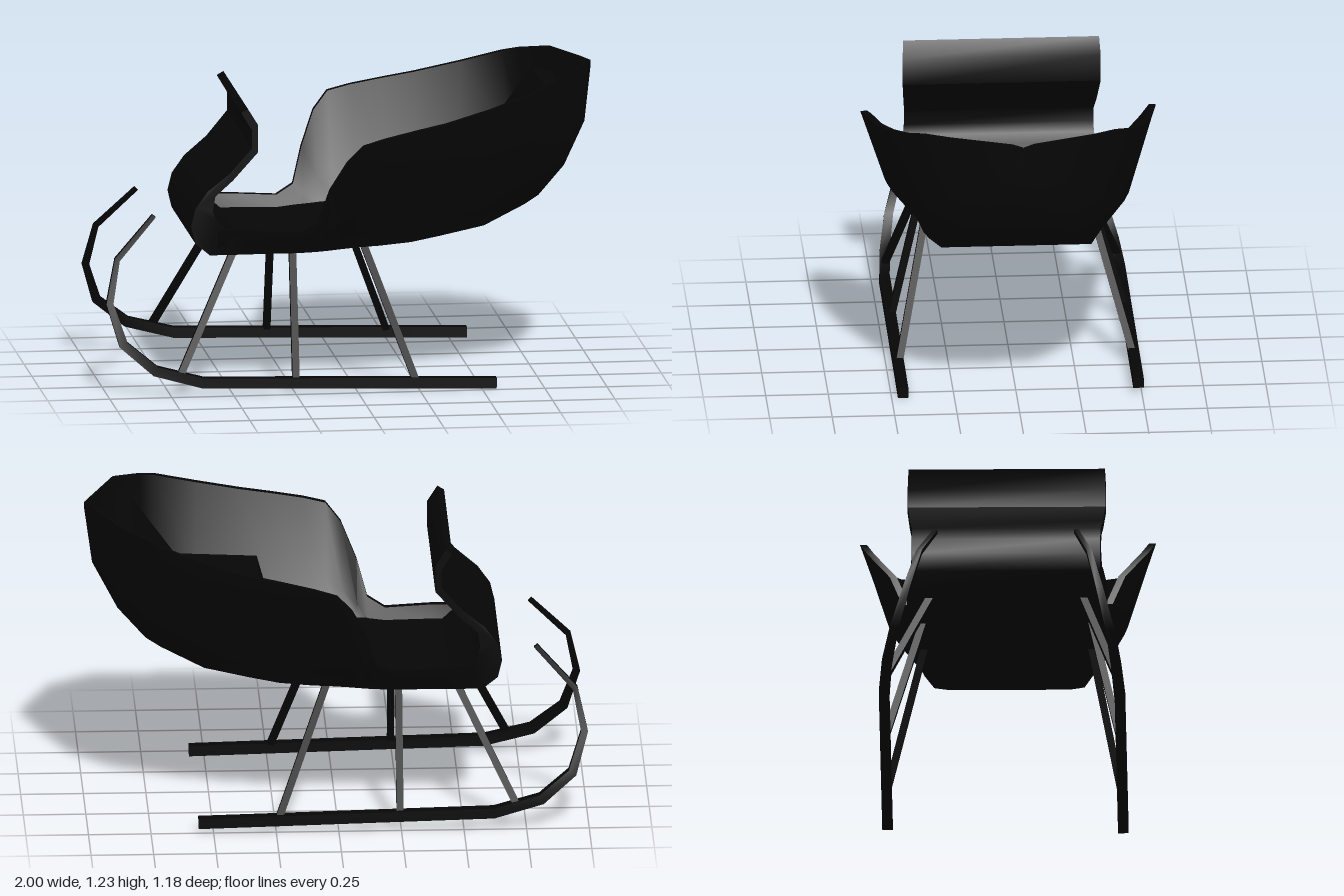
import * as THREE from 'three';
import { toCreasedNormals } from 'three/addons/utils/BufferGeometryUtils.js';

const black = new THREE.MeshStandardMaterial({ color: 0x060606, side: THREE.DoubleSide });
black.name = 'black';

// Hull stations: x, bottom y, bottom half width, rim y, rim half width,
// then the share of widening reached at two low heights (fuller at the stern)
const stations = [
  [-0.55, 0.548, 0.36, 0.655, 0.385, 0.13, 0.58], [-0.4, 0.548, 0.36, 0.65, 0.4, 0.13, 0.58],
  [-0.22, 0.548, 0.36, 0.64, 0.4, 0.13, 0.58], [-0.15, 0.551, 0.36, 0.68, 0.42, 0.13, 0.58],
  [-0.11, 0.554, 0.36, 0.82, 0.47, 0.13, 0.58], [-0.05, 0.56, 0.36, 0.95, 0.56, 0.13, 0.58],
  [0.01, 0.565, 0.36, 1.02, 0.591, 0.13, 0.58], [0.1, 0.57, 0.36, 1.045, 0.583, 0.13, 0.58],
  [0.23, 0.58, 0.352, 1.072, 0.567, 0.13, 0.58], [0.35, 0.6, 0.337, 1.095, 0.552, 0.15, 0.58],
  [0.53, 0.63, 0.3, 1.14, 0.515, 0.2, 0.62], [0.7, 0.7, 0.24, 1.19, 0.465, 0.28, 0.7],
  [0.76, 0.73, 0.21, 1.21, 0.41, 0.35, 0.76], [0.87, 0.84, 0.16, 1.233, 0.31, 0.48, 0.83],
  [0.967, 0.995, 0.045, 1.235, 0.07, 0.5, 0.85], [0.997, 1.21, 0.002, 1.232, 0.003, 0.5, 0.85],
];
const levels = [0, 0.13, 0.36, 1]; // height shares of the section corners

function interpolate(table, v) {
  let i = 0;
  while (i < table.length - 2 && v > table[i + 1][0]) i++;
  const a = table[i], b = table[i + 1];
  const k = THREE.MathUtils.clamp((v - a[0]) / (b[0] - a[0]), 0, 1);
  return a.map((n, j) => n + (b[j] - n) * k);
}

// Half width of the hull at a given length and height
function hullWidth(x, y) {
  const [, bottom, wb, rim, wr, s1, s2] = interpolate(stations, x);
  const bulge = [0, s1, s2, 1].map((s, i) => [levels[i], s]);
  return wb + (wr - wb) * interpolate(bulge, (y - bottom) / (rim - bottom))[1];
}

// Skin a series of equal rings
function loft(rings, capped) {
  const n = rings[0].length, index = [];
  for (let i = 0; i < rings.length - 1; i++) {
    for (let j = 0; j < n; j++) {
      const a = i * n + j, b = i * n + (j + 1) % n;
      index.push(a, b, b + n, a, b + n, a + n);
    }
  }
  if (capped) {
    const e = (rings.length - 1) * n;
    for (let j = 1; j < n - 1; j++) index.push(0, j + 1, j, e, e + j, e + j + 1);
  }
  const g = new THREE.BufferGeometry();
  g.setAttribute('position', new THREE.Float32BufferAttribute(rings.flat(2), 3));
  g.setIndex(index);
  return toCreasedNormals(g, 0.65);
}

// Hollow hull section: outer skin from rim to rim, then the inner skin back
function hullRing([x, bottom, , rim]) {
  const h = rim - bottom;
  const outer = levels.map(t => [bottom + t * h, hullWidth(x, bottom + t * h)]).reverse();
  const floor = bottom + Math.min(0.05, h * 0.5);
  const inner = [[floor, 0.028], [Math.max(floor, bottom + 0.36 * h), 0.028 + 0.07 * h], [rim, 0.028]]
    .map(([y, wall]) => [y, Math.max(hullWidth(x, y) - wall, 0.001)]);
  const left = ([y, w]) => [x, y, w], right = ([y, w]) => [x, y, -w];
  return [
    ...outer.map(left), ...[...outer].reverse().map(right),
    ...[...inner].reverse().map(right), ...inner.map(left),
  ];
}

// Side profile extruded across z from -1 to 1, then fitted to a half width
function crossPiece(points, halfWidth) {
  const shape = new THREE.Shape(points.map(p => new THREE.Vector2(...p)));
  const g = new THREE.ExtrudeGeometry(shape, { depth: 2, bevelEnabled: false });
  const p = g.attributes.position;
  for (let i = 0; i < p.count; i++) {
    p.setZ(i, (p.getZ(i) - 1) * halfWidth(p.getX(i), p.getY(i)));
  }
  return toCreasedNormals(g, 0.65);
}

// Square bar swept along a path of [x, y, z, half thickness]
function bar(path) {
  return loft(path.map(([x, y, z, r], i) => {
    const a = path[Math.max(i - 1, 0)], b = path[Math.min(i + 1, path.length - 1)];
    const l = Math.hypot(b[0] - a[0], b[1] - a[1]);
    const nx = -(b[1] - a[1]) / l * r, ny = (b[0] - a[0]) / l * r;
    return [[1, 1], [-1, 1], [-1, -1], [1, -1]].map(([u, v]) => [x + nx * u, y + ny * u, z + r * v]);
  }), true);
}

export function createModel() {
  const model = new THREE.Group();
  model.name = 'sleigh';
  const add = (name, geometry) => {
    const mesh = new THREE.Mesh(geometry, black);
    mesh.name = name;
    model.add(mesh);
  };

  add('hull', loft(stations.map(hullRing), false));

  // Curled front panel
  add('dashboard', crossPiece([
    [-0.58, 0.548], [-0.45, 0.548], [-0.45, 0.6], [-0.52, 0.66], [-0.555, 0.69], [-0.57, 0.73],
    [-0.56, 0.79], [-0.49, 0.855], [-0.39, 0.97], [-0.39, 1.08], [-0.43, 1.145], [-0.457, 1.13],
    [-0.415, 1.06], [-0.415, 0.985], [-0.5, 0.885], [-0.59, 0.81], [-0.64, 0.74], [-0.657, 0.67],
    [-0.64, 0.6],
  ], (x, y) => (y < 0.56 ? 0.362 : 0.375 + Math.max(0, x + 0.6) * 0.1)));

  // Bench with a raked front and a leaning backrest, fitted inside the hull
  add('seat', crossPiece([
    [0.22, 0.61], [0.53, 0.66], [0.74, 0.75], [0.85, 0.88], [0.87, 1.14], [0.8, 1.15],
    [0.62, 0.89], [0.29, 0.85],
  ], (x, y) => Math.min(hullWidth(x, y) - 0.02, 0.42 - 0.22 * (x - 0.29))));

  // Runners and struts; the right side stands slightly wider and higher
  for (const side of [1, -1]) {
    const wide = side > 0 ? 0 : 0.033, lift = side > 0 ? 0 : 0.02;
    const label = side > 0 ? 'left' : 'right';
    add(label + 'Runner', bar([
      [-0.795, 0.7, 0.282, 0.009], [-0.95, 0.535, 0.335, 0.011], [-0.985, 0.365, 0.375, 0.014],
      [-0.935, 0.205, 0.418, 0.018], [-0.81, 0.1, 0.441, 0.02], [-0.62, 0.05, 0.454, 0.021],
      [0.56, 0.022, 0.454, 0.021],
    ].map(([x, y, z, r], i) => [x, y + lift * Math.min(1, i / 4), side * (z + wide * Math.min(1, i / 4)), r])));

    // Strut tops and feet: x, y, z, then x, y
    [[-0.47, 0.57, 0.3, -0.71, 0.08], [-0.245, 0.57, 0.333, -0.245, 0.045], [0.035, 0.59, 0.33, 0.24, 0.03]]
      .forEach(([x1, y1, z1, x2, y2], i) => {
        const top = new THREE.Vector3(x1, y1, side * z1);
        const foot = new THREE.Vector3(x2, y2 + lift, side * (0.45 + wide));
        const dir = top.clone().sub(foot);
        const g = new THREE.BoxGeometry(0.028, dir.length(), 0.028);
        g.applyQuaternion(new THREE.Quaternion().setFromUnitVectors(
          new THREE.Vector3(0, 1, 0), dir.clone().normalize()));
        const mid = top.add(foot).multiplyScalar(0.5);
        g.translate(mid.x, mid.y, mid.z);
        add(label + ['Front', 'Middle', 'Rear'][i] + 'Strut', g);
      });
  }
  return model;
}
